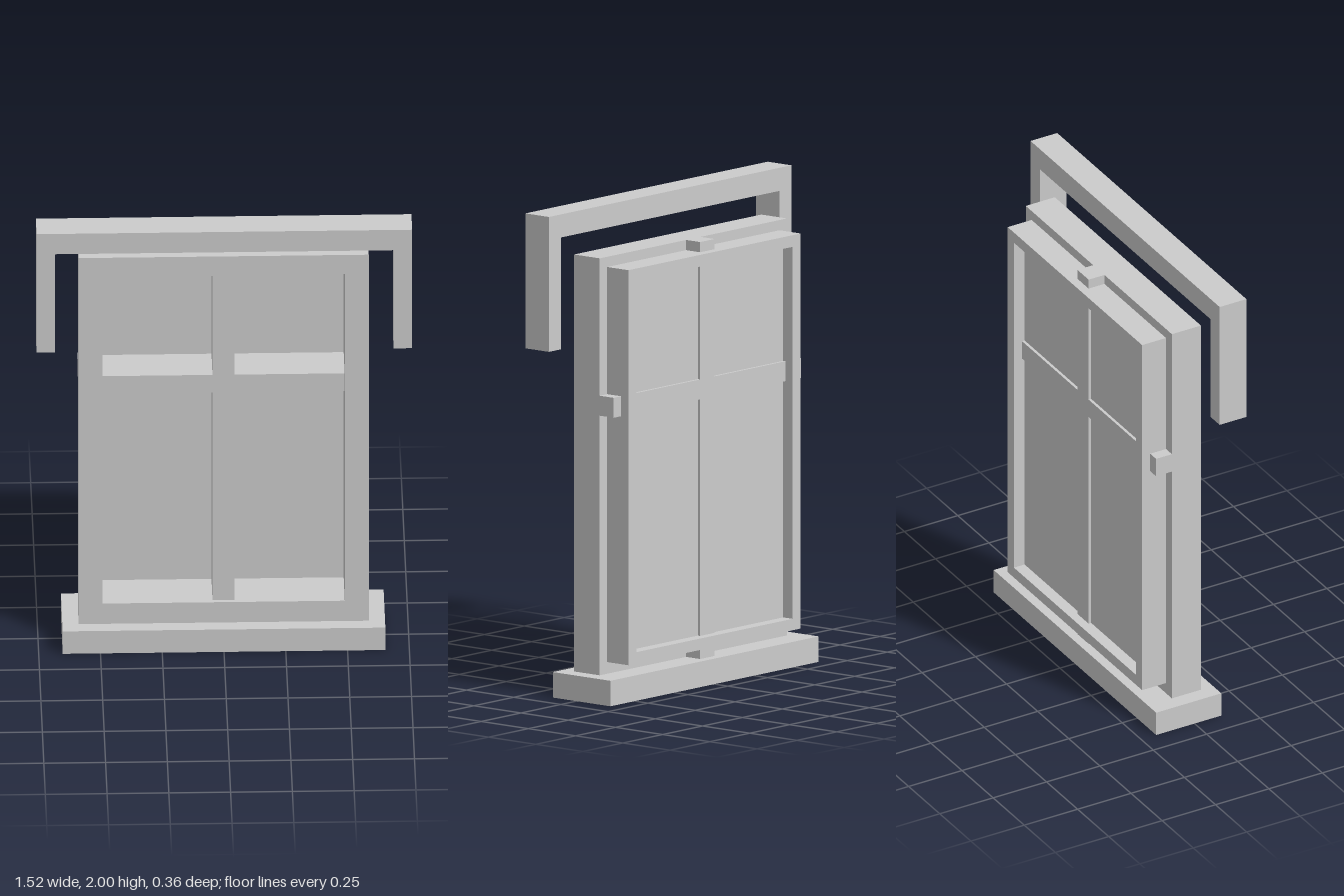
import * as THREE from 'three';

const material = new THREE.MeshStandardMaterial({ color: 0xcccccc, flatShading: true });

const rect = (w, y0, y1) => [[-w, y0], [w, y0], [w, y1], [-w, y1]];
const points = (list) => list.map(([x, y]) => new THREE.Vector2(x, y));

// Extrudes an outline, with an optional hole, from z0 to z1
function slab(name, outline, z0, z1, hole) {
  const shape = new THREE.Shape(points(outline));
  if (hole) shape.holes.push(new THREE.Path(points(hole)));
  const geometry = new THREE.ExtrudeGeometry(shape, { depth: z1 - z0, bevelEnabled: false });
  geometry.translate(0, 0, z0);
  const mesh = new THREE.Mesh(geometry, material);
  mesh.name = name;
  return mesh;
}

export function createModel() {
  const group = new THREE.Group();
  group.name = 'window';
  const opening = rect(0.49, 0.2, 1.73);

  // Sill and the U-shaped hood moulding
  group.add(slab('sill', rect(0.653, 0, 0.105), -0.18, 0.125));
  group.add(slab('hood', [
    [-0.76, 1.445], [-0.685, 1.445], [-0.685, 1.905], [0.685, 1.905],
    [0.685, 1.445], [0.76, 1.445], [0.76, 2], [-0.76, 2],
  ], 0.055, 0.18));

  // Front and back frames share one opening
  group.add(slab('frontFrame', rect(0.587, 0.105, 1.82), -0.068, 0.068, opening));
  group.add(slab('backFrame', rect(0.54, 0.153, 1.778), -0.18, -0.068, opening));

  // Crossed glazing bars, running through to the outside of the frames
  const m = 0.045, b0 = 1.173, b1 = 1.255, w = 0.587;
  group.add(slab('glazingBars', [
    [-m, 0.105], [m, 0.105], [m, b0], [w, b0], [w, b1], [m, b1],
    [m, 1.82], [-m, 1.82], [-m, b1], [-w, b1], [-w, b0], [-m, b0],
  ], -0.142, 0.05));

  // Pane
  group.add(slab('pane', rect(0.49, 0.2, 1.73), -0.13, -0.12));

  // Pointed pelmets hanging at the top of each light
  for (const side of [-1, 1]) {
    const pelmet = slab(side > 0 ? 'leftPelmet' : 'rightPelmet',
      [[-0.19, 1.73], [0, 1.605], [0.19, 1.73]], 0.005, 0.015);
    pelmet.position.x = side * 0.295;
    group.add(pelmet);
  }
  return group;
}
